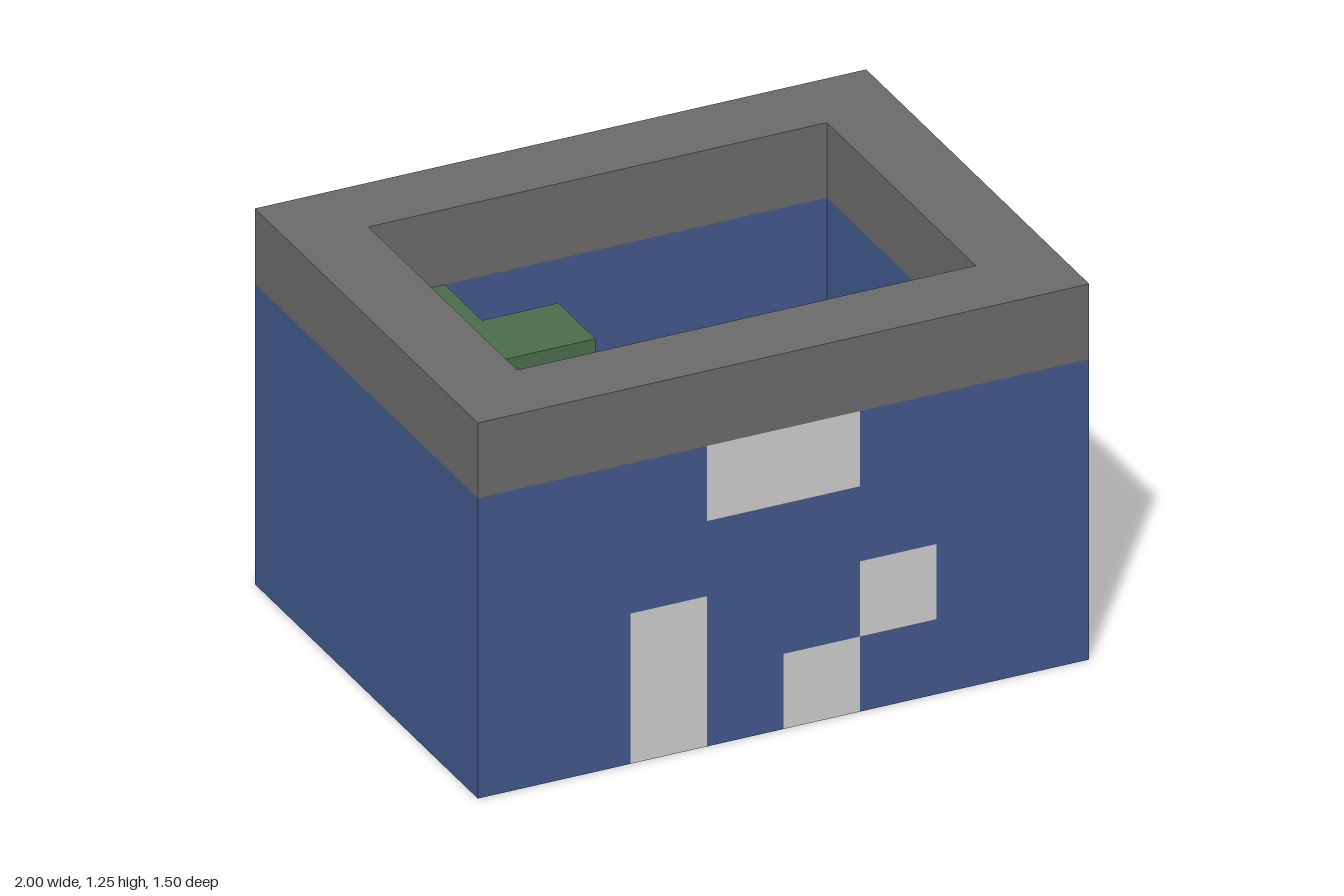
import * as THREE from 'three';

const CELL = 0.25, NX = 8, NY = 5, NZ = 6;

// The six sides of a cell: outward direction and four corners, counter-clockwise
const SIDES = [
  [[1, 0, 0], [[1, 0, 1], [1, 0, 0], [1, 1, 0], [1, 1, 1]]],
  [[-1, 0, 0], [[0, 0, 0], [0, 0, 1], [0, 1, 1], [0, 1, 0]]],
  [[0, 1, 0], [[0, 1, 1], [1, 1, 1], [1, 1, 0], [0, 1, 0]]],
  [[0, -1, 0], [[0, 0, 0], [1, 0, 0], [1, 0, 1], [0, 0, 1]]],
  [[0, 0, 1], [[0, 0, 1], [1, 0, 1], [1, 1, 1], [0, 1, 1]]],
  [[0, 0, -1], [[1, 0, 0], [0, 0, 0], [0, 1, 0], [1, 1, 0]]],
];

export function createModel() {
  const mat = (name, color) => {
    const m = new THREE.MeshStandardMaterial({ color });
    m.name = name;
    return m;
  };
  const grey = mat('grey', 0x6a6a6a);
  const blue = mat('blue', 0x41588a);
  const white = mat('white', 0xcccccc);
  const green = mat('green', 0x4a6d4a);
  const orange = mat('orange', 0xae8746);

  // Fill a range of cells (upper ends exclusive) with a part; null empties it
  const cells = new Map();
  const key = (x, y, z) => `${x},${y},${z}`;
  const fill = (part, x0, x1, y0, y1, z0, z1) => {
    for (let x = x0; x < x1; x++)
      for (let y = y0; y < y1; y++)
        for (let z = z0; z < z1; z++) {
          if (part) cells.set(key(x, y, z), part);
          else cells.delete(key(x, y, z));
        }
  };

  // Open basin with a grey rim
  fill('basin', 0, NX, 0, 4, 0, NZ);
  fill('rim', 0, NX, 4, NY, 0, NZ);
  fill(null, 1, 7, 1, NY, 1, 5);

  // White blocks set through the front wall
  fill('wallInlays', 3, 5, 3, 4, 5, 6);
  fill('wallInlays', 2, 3, 0, 2, 5, 6);
  fill('wallInlays', 4, 5, 0, 1, 5, 6);
  fill('wallInlays', 5, 6, 1, 2, 5, 6);

  // Blocks stacked inside
  fill('greenBlocks', 1, 3, 1, 4, 1, 3);
  fill(null, 2, 3, 3, 4, 1, 2);
  fill('orangeBlocks', 2, 3, 1, 3, 3, 5);
  fill('orangeBlocks', 3, 4, 1, 3, 4, 5);
  fill('orangeBlocks', 4, 5, 1, 2, 3, 4);
  fill('greyBlocks', 5, 6, 1, 3, 2, 4);

  // One mesh per part, made of the exposed cell sides only
  const group = new THREE.Group();
  const parts = {
    basin: blue, rim: grey, wallInlays: white,
    greenBlocks: green, orangeBlocks: orange, greyBlocks: grey,
  };
  for (const [name, material] of Object.entries(parts)) {
    const pos = [], nor = [], index = [];
    for (const [k, part] of cells) {
      if (part !== name) continue;
      const [x, y, z] = k.split(',').map(Number);
      for (const [d, corners] of SIDES) {
        if (cells.has(key(x + d[0], y + d[1], z + d[2]))) continue;
        const n = pos.length / 3;
        for (const c of corners) {
          pos.push((x + c[0] - NX / 2) * CELL, (y + c[1]) * CELL, (z + c[2] - NZ / 2) * CELL);
          nor.push(...d);
        }
        index.push(n, n + 1, n + 2, n, n + 2, n + 3);
      }
    }
    const geo = new THREE.BufferGeometry();
    geo.setAttribute('position', new THREE.Float32BufferAttribute(pos, 3));
    geo.setAttribute('normal', new THREE.Float32BufferAttribute(nor, 3));
    geo.setIndex(index);
    const mesh = new THREE.Mesh(geo, material);
    mesh.name = name;
    group.add(mesh);
  }
  return group;
}
